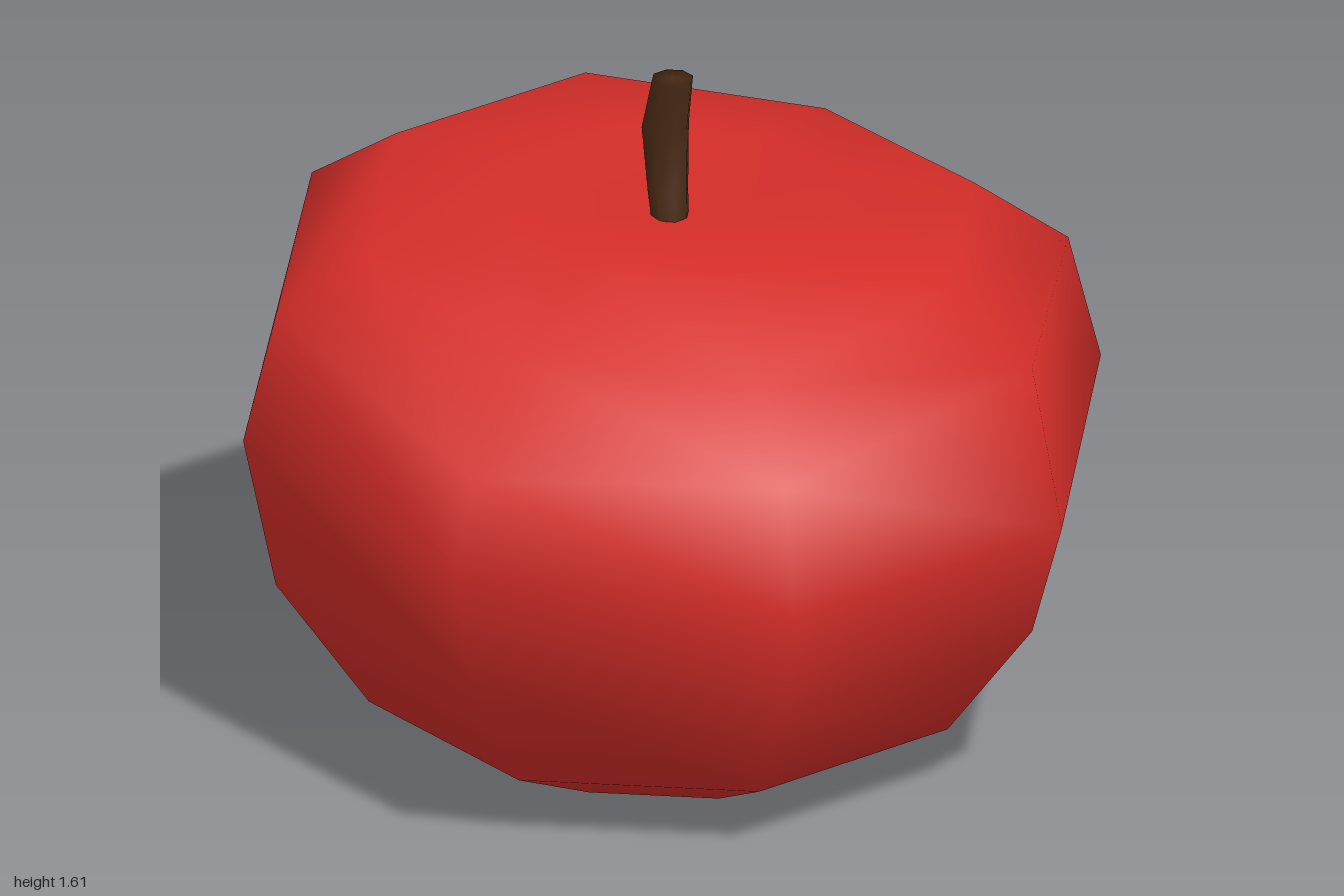
import * as THREE from 'three';
import { mergeVertices } from 'three/addons/utils/BufferGeometryUtils.js';

// Weld a primitive, then move its vertices by a rule, with smooth normals
function reshape(geometry, rule) {
  geometry.deleteAttribute('uv');
  const p = geometry.attributes.position;
  const v = new THREE.Vector3();
  for (let i = 0; i < p.count; i++) {
    rule(v.fromBufferAttribute(p, i), i);
    p.setXYZ(i, v.x, v.y, v.z);
  }
  geometry.deleteAttribute('normal');
  const welded = mergeVertices(geometry, 1e-4);
  welded.computeVertexNormals();
  return welded;
}

// Ring heights from top dimple to flat base; columns run -x, +z, +x, -z
const RINGS = [
  [1.26],
  [1.32],
  [1.26, 1.2, 1.155, 1.25, 1.26, 1.25, 1.31, 1.315],
  [1.14, 0.99, 1.0, 1.1, 1.1, 1.1, 1.16, 1.17],
  [0.84, 0.79, 0.72, 0.72, 0.8, 0.79, 0.8, 0.82],
  [0.475, 0.475, 0.45, 0.45, 0.475, 0.475, 0.475, 0.475],
  [0.16],
  [0],
  [0],
];

// Stem stations from top to bottom: height, z offset, radius
const STEM = [
  [1.61, 0.003, 0.048],
  [1.47, -0.055, 0.055],
  [1.32, -0.033, 0.047],
  [1.2, 0.0, 0.04],
];

export function createModel() {
  const group = new THREE.Group();
  group.name = 'apple';

  // Lopsided eight-sided body
  const bodyGeometry = reshape(new THREE.SphereGeometry(1, 8, 8), (v, i) => {
    const ring = RINGS[Math.floor(i / 9)];
    v.y = ring[(i % 9) % 8 % ring.length];
  });
  const body = new THREE.Mesh(bodyGeometry, new THREE.MeshStandardMaterial({ color: 0xd42d28 }));
  body.name = 'fruitBody';
  group.add(body);

  // Bent stem, capped at both ends
  const stemGeometry = reshape(new THREE.CylinderGeometry(1, 1, 3, 8, 3), (v) => {
    const [y, z, r] = STEM[Math.round(1.5 - v.y)];
    v.set(v.x * r, y, v.z * r + z);
  });
  const stem = new THREE.Mesh(stemGeometry, new THREE.MeshStandardMaterial({ color: 0x4a2a14 }));
  stem.name = 'stem';
  group.add(stem);

  return group;
}
